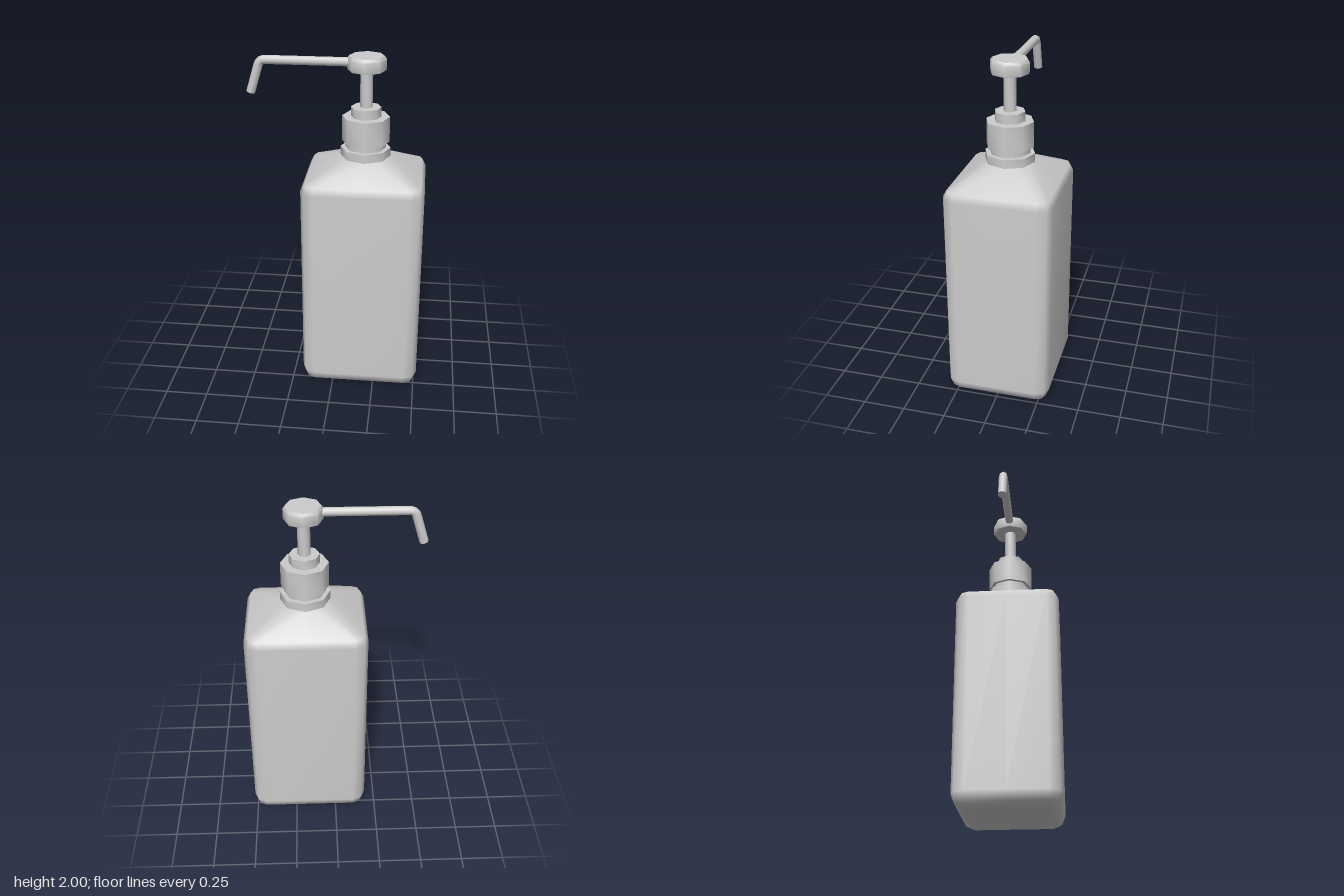
import * as THREE from 'three';
import { toCreasedNormals } from 'three/addons/utils/BufferGeometryUtils.js';

const CX = 0.165; // axis of bottle and pump
const CORE_X = 0.275, CORE_Z = 0.235; // flat half sizes inside the rounded corners
const material = new THREE.MeshStandardMaterial({ color: 0xcccccc });

function add(group, name, geometry) {
  const mesh = new THREE.Mesh(geometry, material);
  mesh.name = name;
  group.add(mesh);
  return mesh;
}

// Octagonal turned part, profile listed from bottom to top
function turned(profile) {
  const points = profile.map(([r, y]) => new THREE.Vector2(r, y));
  return toCreasedNormals(new THREE.LatheGeometry(points, 8), 0.9);
}

const drum = (r, y0, y1) => turned([[0, y0], [r, y0], [r, y1], [0, y1]]);

// Rounded rectangle of 16 points with corner radius r
function rectRing(y, r) {
  const ring = [];
  for (let q = 0; q < 4; q++) {
    const a = q * Math.PI / 2;
    const sx = q === 0 || q === 3 ? 1 : -1, sz = q < 2 ? 1 : -1;
    ring.push([Math.cos(a) * (CORE_X + r), y, Math.sin(a) * (CORE_Z + r)]);
    for (let k = 0; k < 3; k++) {
      const b = a + k * Math.PI / 4;
      ring.push([sx * CORE_X + Math.cos(b) * r, y, sz * CORE_Z + Math.sin(b) * r]);
    }
  }
  return ring;
}

// Octagon of 16 points, matching the order of rectRing
function octagonRing(y, radius) {
  return Array.from({ length: 16 }, (_, i) => {
    const a = i * Math.PI / 8;
    const r = i % 2 ? radius * Math.cos(Math.PI / 8) : radius;
    return [Math.cos(a) * r, y, Math.sin(a) * r];
  });
}

// Smooth skin over the rings, closed at the bottom
function bottleGeometry() {
  const rings = [
    rectRing(0, 0.004), rectRing(0.022, 0.055), rectRing(0.077, 0.077),
    rectRing(1.27, 0.077), rectRing(1.31, 0.055), octagonRing(1.415, 0.143),
  ];
  const n = 16, positions = rings.flat(2), index = [];
  const centre = positions.length / 3;
  positions.push(0, 0, 0);
  for (let i = 0; i < n; i++) {
    const k = (i + 1) % n;
    index.push(centre, i, k);
    for (let j = 0; j < rings.length - 1; j++) {
      const a = j * n + i, b = j * n + k;
      index.push(a, a + n, b, b, a + n, b + n);
    }
  }
  const geometry = new THREE.BufferGeometry();
  geometry.setAttribute('position', new THREE.Float32BufferAttribute(positions, 3));
  geometry.setIndex(index);
  geometry.computeVertexNormals();
  return geometry;
}

export function createModel() {
  const model = new THREE.Group();
  model.name = 'pumpBottle';

  const bottle = new THREE.Group();
  bottle.name = 'bottle';
  bottle.position.x = CX;
  add(bottle, 'body', bottleGeometry());
  add(bottle, 'neckRing', drum(0.145, 1.405, 1.465));
  add(bottle, 'neck', drum(0.118, 1.46, 1.51));
  model.add(bottle);

  const pump = new THREE.Group();
  pump.name = 'pump';
  pump.position.x = CX;
  add(pump, 'collar', drum(0.137, 1.5, 1.65));
  add(pump, 'collarStep', drum(0.087, 1.645, 1.705));
  add(pump, 'stem', drum(0.036, 1.7, 1.93));
  add(pump, 'head', turned([[0, 1.918], [0.108, 1.918], [0.111, 1.93], [0.111, 1.982], [0.1, 1.998], [0, 2]]));
  model.add(pump);

  // Spout: straight run, short bend, drooping tip
  const v = (x, y) => new THREE.Vector3(x, y, 0);
  const start = v(0.1, 1.96), bend = v(-0.41, 1.96), drop = v(-0.448, 1.93), tip = v(-0.497, 1.77);
  const path = new THREE.CurvePath();
  path.add(new THREE.LineCurve3(start, bend));
  path.add(new THREE.QuadraticBezierCurve3(bend, v(-0.438, 1.96), drop));
  path.add(new THREE.LineCurve3(drop, tip));
  add(model, 'spout', new THREE.TubeGeometry(path, 48, 0.026, 8));
  const cap = add(model, 'spoutTip', new THREE.CircleGeometry(0.026, 8));
  cap.position.copy(tip);
  cap.quaternion.setFromUnitVectors(new THREE.Vector3(0, 0, 1), tip.clone().sub(drop).normalize());

  return model;
}
